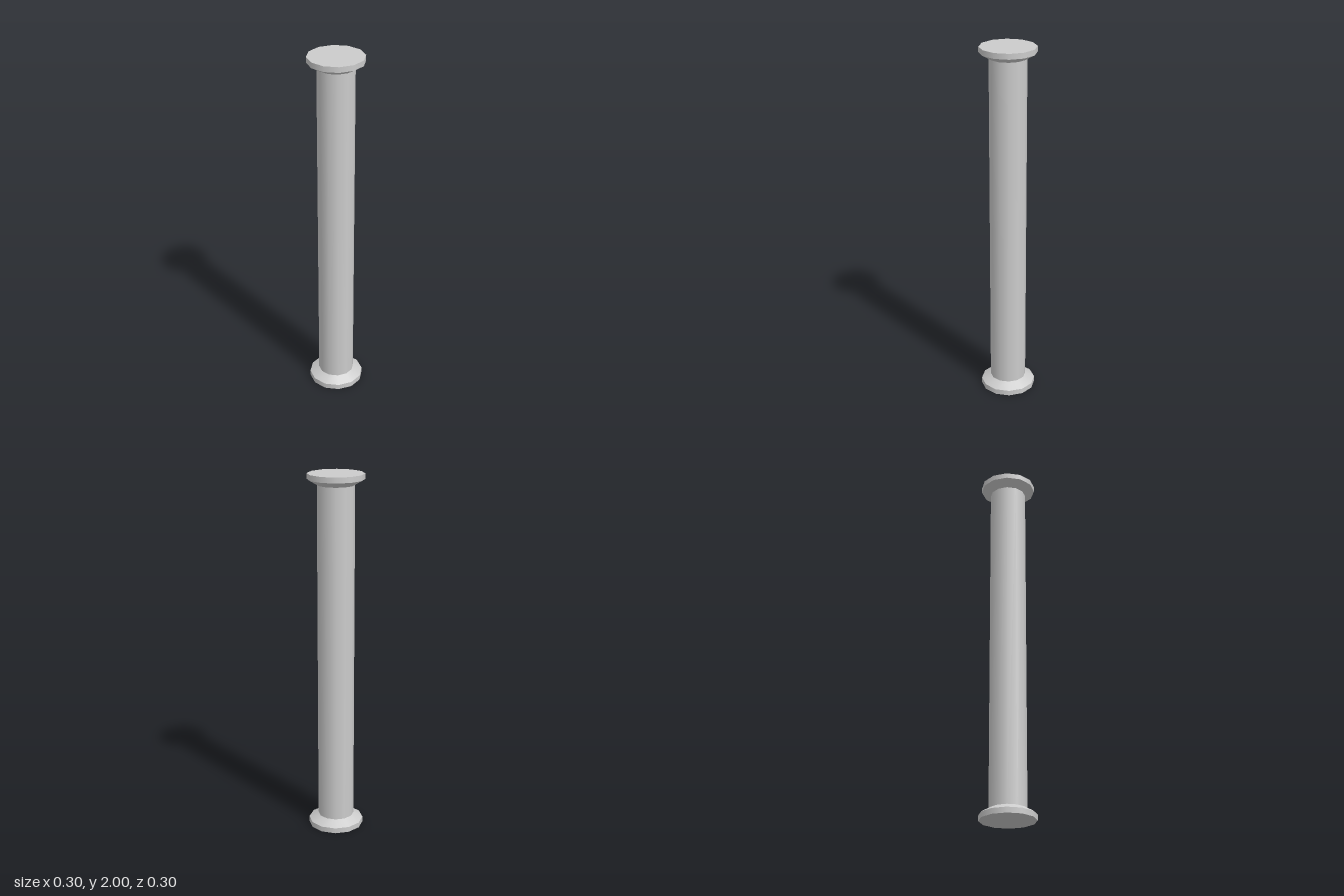
import * as THREE from 'three';

const SIDES = 12;
const RIM = 0.152, SHAFT = 0.1;
const RIM_H = 0.03, BEVEL_H = 0.03, HEIGHT = 2;

const material = new THREE.MeshStandardMaterial({ color: 0xcccccc });

// Twelve-sided drum standing on height y, smooth around and sharp at its ends
function drum(name, topRadius, bottomRadius, height, y, open) {
  const geometry = new THREE.CylinderGeometry(topRadius, bottomRadius, height, SIDES, 1, open);
  const mesh = new THREE.Mesh(geometry, material);
  mesh.name = name;
  mesh.position.y = y + height / 2;
  return mesh;
}

// Flat disc with a bevel narrowing to the shaft
function flange(name) {
  const group = new THREE.Group();
  group.name = name;
  group.add(
    drum('rim', RIM, RIM, RIM_H, 0, false),
    drum('bevel', SHAFT, RIM, BEVEL_H, RIM_H, true)
  );
  return group;
}

export function createModel() {
  const column = new THREE.Group();
  column.name = 'column';

  const base = flange('base');

  // The capital is the base turned upside down
  const capital = flange('capital');
  capital.rotation.x = Math.PI;
  capital.position.y = HEIGHT;

  const end = RIM_H + BEVEL_H;
  const shaft = drum('shaft', SHAFT, SHAFT, HEIGHT - 2 * end, end, true);

  column.add(base, shaft, capital);
  return column;
}
